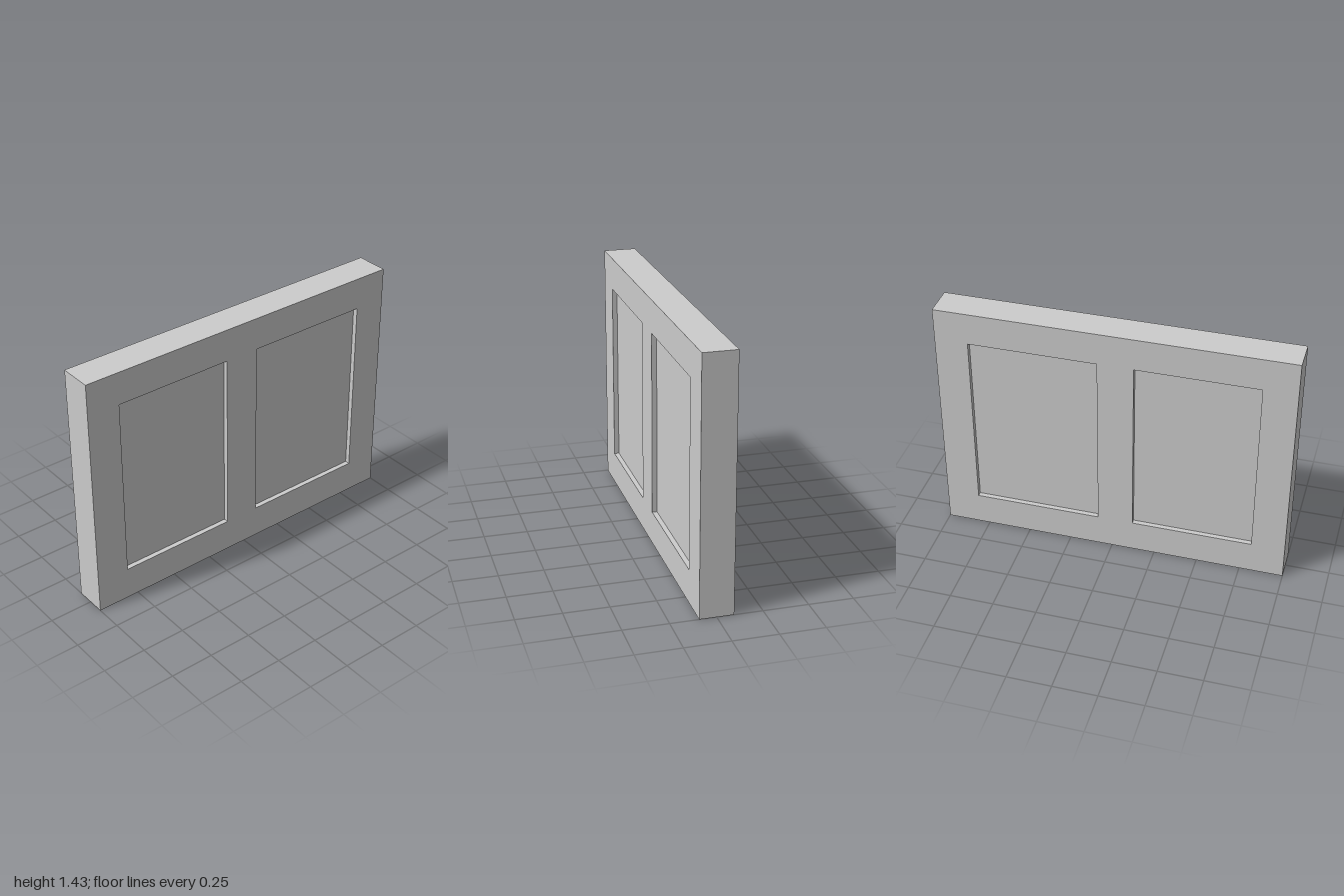
import * as THREE from 'three';

const WIDTH = 2, HEIGHT = 1.43, DEPTH = 0.187;
const RECESS = 0.028; // panels are set back this far on both faces
const BOTTOM = 0.19, TOP = 1.243;
const OPENINGS = [
  { name: 'rightPanel', x0: -0.81, x1: -0.12 },
  { name: 'leftPanel', x0: 0.083, x1: 0.81 },
];

function rectangle(PathType, x0, y0, x1, y1) {
  return new PathType([
    new THREE.Vector2(x0, y0), new THREE.Vector2(x1, y0),
    new THREE.Vector2(x1, y1), new THREE.Vector2(x0, y1),
  ]);
}

export function createModel() {
  const model = new THREE.Group();
  model.name = 'framedPanel';
  const material = new THREE.MeshStandardMaterial({ color: 0xcccccc, flatShading: true });

  // Frame with two rectangular openings
  const outline = rectangle(THREE.Shape, -WIDTH / 2, 0, WIDTH / 2, HEIGHT);
  for (const { x0, x1 } of OPENINGS) {
    outline.holes.push(rectangle(THREE.Path, x0, BOTTOM, x1, TOP));
  }
  const frameGeometry = new THREE.ExtrudeGeometry(outline, { depth: DEPTH, bevelEnabled: false });
  frameGeometry.translate(0, 0, -DEPTH / 2);
  const frame = new THREE.Mesh(frameGeometry, material);
  frame.name = 'frame';
  model.add(frame);

  // Recessed panels filling the openings
  for (const { name, x0, x1 } of OPENINGS) {
    const panel = new THREE.Mesh(
      new THREE.BoxGeometry(x1 - x0, TOP - BOTTOM, DEPTH - 2 * RECESS), material);
    panel.position.set((x0 + x1) / 2, (BOTTOM + TOP) / 2, 0);
    panel.name = name;
    model.add(panel);
  }
  return model;
}
